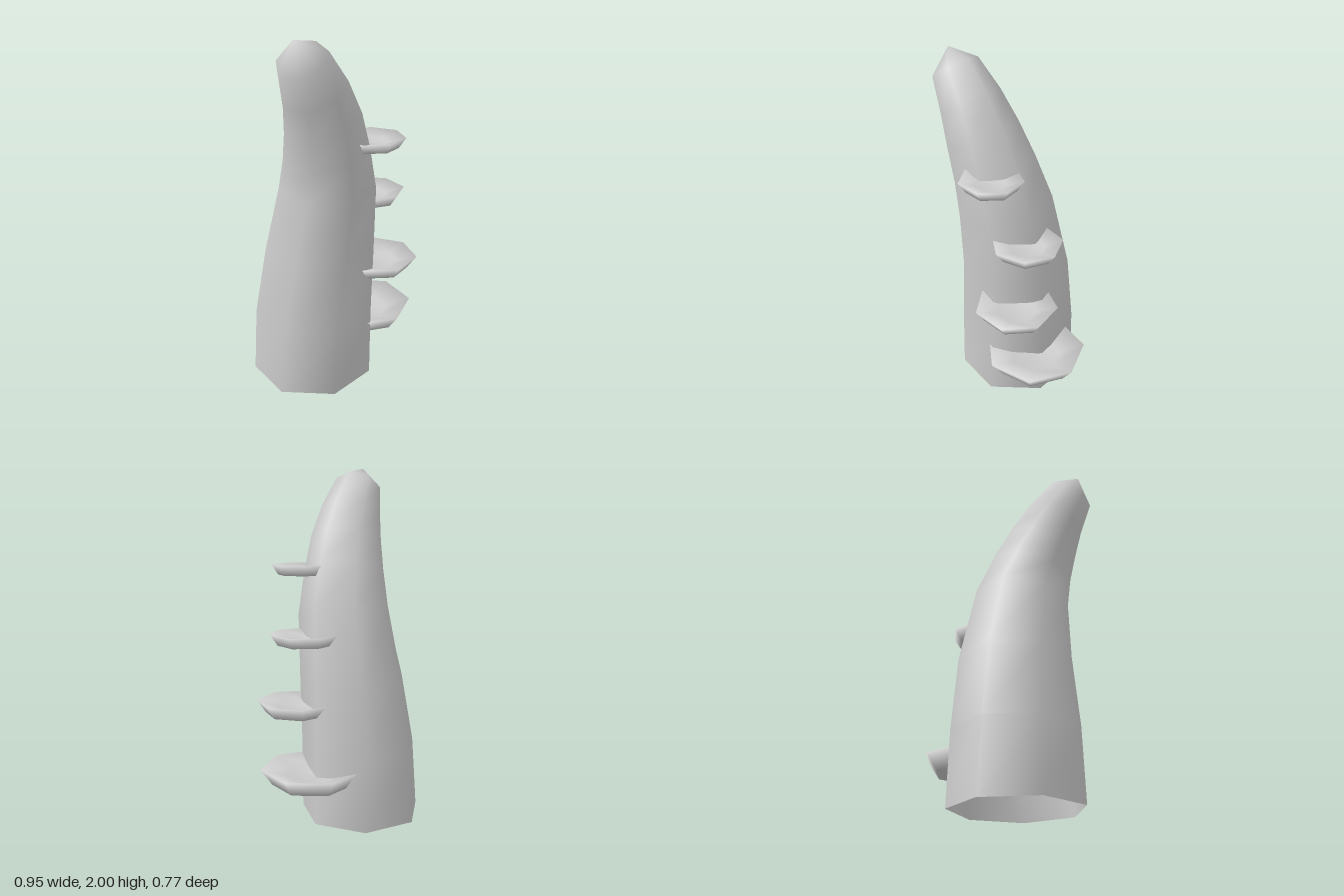
import * as THREE from 'three';

const SIDES = 7;
const START = THREE.MathUtils.degToRad(1);
const TWIST = THREE.MathUtils.degToRad(-3); // extra turn per ring
const material = new THREE.MeshStandardMaterial({ color: 0xcccccc });
const openMaterial = new THREE.MeshStandardMaterial({ color: 0xcccccc, side: THREE.DoubleSide });

// Spine of the tentacle: centre x, y, z and radius
const SPINE = [
  [-0.147, 0, -0.041, 0.352],
  [-0.14, 0.4, -0.035, 0.34],
  [-0.113, 0.8, -0.01, 0.31],
  [-0.105, 1.19, 0.055, 0.268],
  [-0.147, 1.4, 0.1, 0.235],
  [-0.2, 1.58, 0.143, 0.208],
  [-0.27, 1.74, 0.18, 0.176],
  [-0.365, 1.9, 0.223, 0.136],
];
const TIP = [-0.42, 2, 0.235];

// Seven-sided rings swept along the spine, each square to its direction;
// closed by a tip and open underneath
function bodyGeometry() {
  const centres = SPINE.map(([x, y, z]) => new THREE.Vector3(x, y, z));
  const up = new THREE.Vector3(0, 1, 0);
  const positions = [];
  const index = [];
  const last = SPINE.length - 1;
  centres.forEach((centre, i) => {
    const turn = new THREE.Quaternion();
    if (i > 2) {
      const direction = centres[Math.min(i + 1, last)].clone().sub(centres[i - 1]).normalize();
      turn.setFromUnitVectors(up, direction);
    }
    for (let j = 0; j < SIDES; j++) {
      const a = START + i * TWIST + (j / SIDES) * Math.PI * 2;
      const p = new THREE.Vector3(Math.cos(a), 0, Math.sin(a)).multiplyScalar(SPINE[i][3]);
      positions.push(...p.applyQuaternion(turn).add(centre).toArray());
    }
  });
  positions.push(...TIP);
  for (let i = 0; i <= last; i++) {
    for (let j = 0; j < SIDES; j++) {
      const a = i * SIDES + j;
      const b = i * SIDES + ((j + 1) % SIDES);
      if (i === last) index.push(a, SIDES * SPINE.length, b);
      else index.push(a, a + SIDES, b, b, a + SIDES, b + SIDES);
    }
  }
  const geometry = new THREE.BufferGeometry();
  geometry.setAttribute('position', new THREE.Float32BufferAttribute(positions, 3));
  geometry.setIndex(index);
  geometry.computeVertexNormals();
  return geometry;
}

// Flared seven-sided cup, hollowed above and slightly below; angle places its first corner
function makeSucker({ x, y, z, radius, height, angle }) {
  const profile = [
    [0, 0.25],
    [0.4, 0.2],
    [0.78, 0],
    [1, 1],
    [0.5, 0.5],
    [0, 0.4],
  ].map(([r, h]) => new THREE.Vector2(r * radius, h * height));
  const geometry = new THREE.LatheGeometry(profile, SIDES, THREE.MathUtils.degToRad(90 - angle));
  const sucker = new THREE.Mesh(geometry, material);
  sucker.position.set(x, y, z);
  return sucker;
}

export function createModel() {
  const model = new THREE.Group();
  model.name = 'tentacle';

  const body = new THREE.Mesh(bodyGeometry(), openMaterial);
  body.name = 'body';
  model.add(body);

  // Suckers, largest at the bottom
  [
    { x: 0.193, y: 0.24, z: 0, radius: 0.293, height: 0.09, angle: -20 },
    { x: 0.197, y: 0.622, z: 0.122, radius: 0.234, height: 0.072, angle: -7 },
    { x: 0.192, y: 1.022, z: 0.055, radius: 0.198, height: 0.063, angle: -23 },
    { x: 0.085, y: 1.393, z: 0.21, radius: 0.175, height: 0.057, angle: -5 },
  ].forEach((spec, i) => {
    const sucker = makeSucker(spec);
    sucker.name = `sucker${i + 1}`;
    model.add(sucker);
  });

  return model;
}
